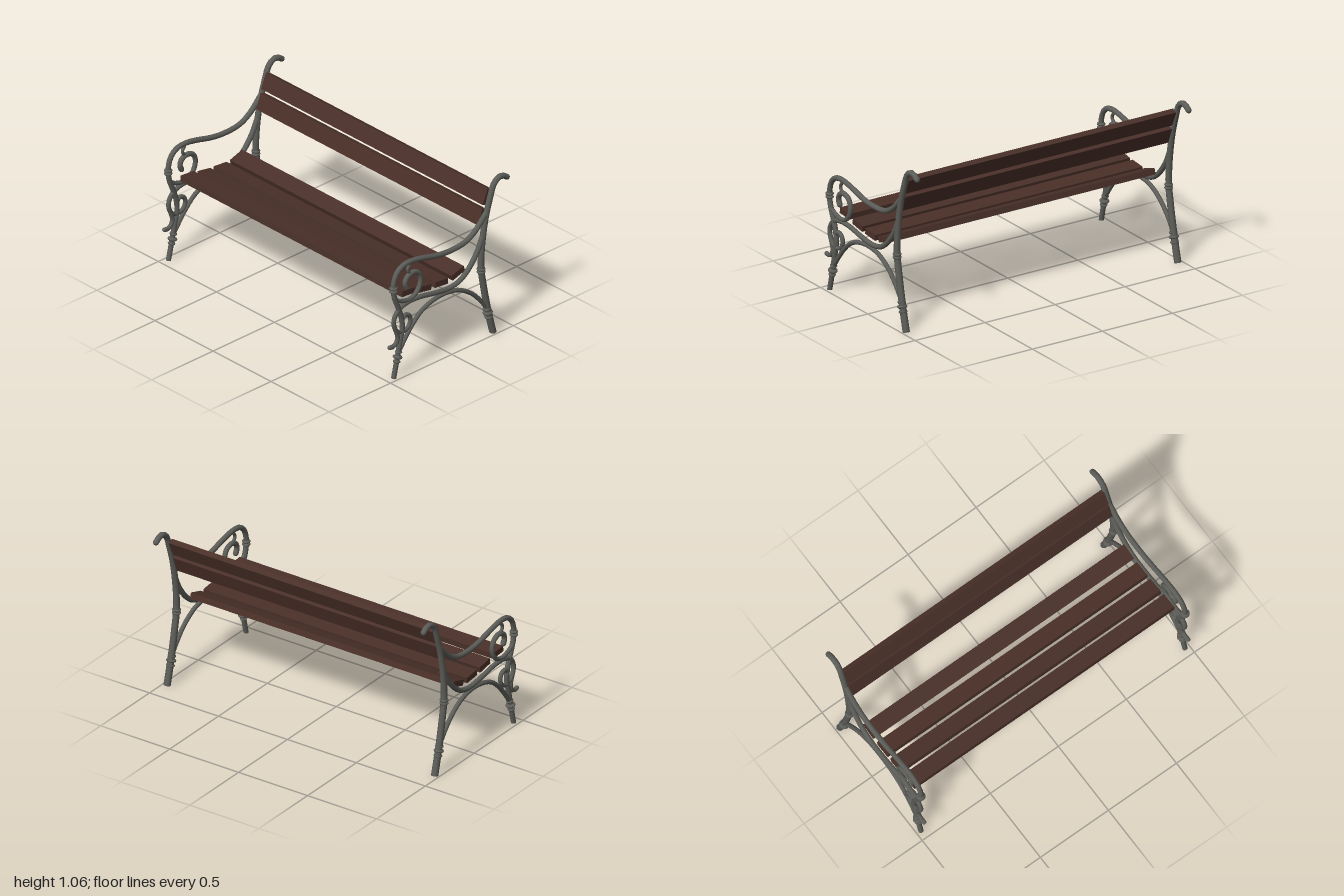
import * as THREE from 'three';

const iron = new THREE.MeshStandardMaterial({ color: 0x5c5d58 });
iron.name = 'grey iron';
const wood = new THREE.MeshStandardMaterial({ color: 0x4a3029 });
wood.name = 'brown wood';

const SIDE_X = 0.97;

function add(parent, name, geometry, material) {
  const mesh = new THREE.Mesh(geometry, material);
  mesh.name = name;
  parent.add(mesh);
  return mesh;
}

// Round bar through [z, y] points, its radius running from r0 to r1, with rounded ends.
function bar(parent, name, points, r0, r1, segments, foot = false) {
  const group = new THREE.Group();
  group.name = name;
  parent.add(group);
  const curve = new THREE.CatmullRomCurve3(points.map(([z, y]) => new THREE.Vector3(0, y, z)));
  const geometry = new THREE.TubeGeometry(curve, segments, 1, 12, false);
  const pos = geometry.attributes.position;
  const v = new THREE.Vector3();
  for (let i = 0; i < pos.count; i++) {
    const t = Math.floor(i / 13) / segments;
    const centre = curve.getPointAt(t);
    v.fromBufferAttribute(pos, i).sub(centre).multiplyScalar(r0 + (r1 - r0) * t).add(centre);
    pos.setXYZ(i, v.x, foot ? Math.max(0, v.y) : v.y, v.z);
  }
  add(group, name + 'Bar', geometry, iron);
  for (const [t, r] of [[0, r0], [1, r1]]) {
    const p = curve.getPointAt(t);
    if (foot && t === 0) {
      // Flat sole on the ground
      const sole = add(group, 'sole', new THREE.CircleGeometry(r, 12), iron);
      sole.rotation.x = Math.PI / 2;
      sole.position.set(0, 0, p.z);
    } else {
      const end = add(group, name + 'End', new THREE.SphereGeometry(r, 12, 8), iron);
      end.position.copy(p);
    }
  }
}

// Flattened ring around a bar, tilted to follow it
function collar(parent, z, y, radius, tilt) {
  const mesh = add(parent, 'collar', new THREE.SphereGeometry(radius, 16, 8).scale(1, 0.45, 1), iron);
  mesh.position.set(0, y, z);
  mesh.rotation.x = tilt;
}

function sideFrame(name, x) {
  const frame = new THREE.Group();
  frame.name = name;
  frame.position.x = x;

  bar(frame, 'backLeg', [
    [-0.362, 0], [-0.32, 0.17], [-0.285, 0.345], [-0.266, 0.47], [-0.273, 0.62], [-0.303, 0.8],
    [-0.34, 0.925], [-0.37, 1.005], [-0.41, 1.036], [-0.45, 1.03], [-0.476, 1.012],
  ], 0.022, 0.018, 36, true);

  bar(frame, 'frontLegAndArmrest', [
    [0.446, 0], [0.415, 0.135], [0.395, 0.23], [0.376, 0.315], [0.382, 0.385], [0.41, 0.47],
    [0.442, 0.555], [0.448, 0.625], [0.427, 0.695], [0.38, 0.735], [0.31, 0.744], [0.213, 0.728],
    [0.1, 0.7], [-0.01, 0.688], [-0.137, 0.7], [-0.22, 0.745], [-0.3, 0.825],
  ], 0.016, 0.017, 48, true);

  // Seat rail sweeping down from the back, forward, then into the tail at the front
  bar(frame, 'seatRail', [
    [-0.28, 0.69], [-0.235, 0.597], [-0.165, 0.507], [-0.095, 0.456], [-0.01, 0.438], [0.1, 0.448],
    [0.24, 0.473], [0.34, 0.473], [0.4, 0.452], [0.436, 0.415], [0.446, 0.367], [0.425, 0.31],
    [0.413, 0.265], [0.425, 0.232], [0.45, 0.216], [0.478, 0.22],
  ], 0.017, 0.014, 48);

  bar(frame, 'upperScroll', [
    [0.44, 0.53], [0.38, 0.5], [0.31, 0.49], [0.25, 0.525], [0.226, 0.59], [0.245, 0.642],
    [0.292, 0.662], [0.337, 0.645], [0.353, 0.61], [0.34, 0.578],
  ], 0.013, 0.017, 36);
  bar(frame, 'scrollLink', [[0.316, 0.725], [0.332, 0.7], [0.326, 0.68], [0.305, 0.664]], 0.01, 0.01, 10);
  bar(frame, 'lowerScroll', [
    [0.44, 0.34], [0.415, 0.306], [0.375, 0.29], [0.33, 0.303], [0.309, 0.345],
    [0.322, 0.382], [0.355, 0.395], [0.378, 0.375],
  ], 0.013, 0.014, 28);
  bar(frame, 'underArch', [
    [0.405, 0.165], [0.31, 0.29], [0.225, 0.368], [0.13, 0.406], [0.02, 0.415], [-0.08, 0.395],
    [-0.18, 0.336], [-0.25, 0.266], [-0.312, 0.185],
  ], 0.014, 0.014, 28);

  // Decorative collars on legs and armrest post
  collar(frame, 0.406, 0.165, 0.023, -0.25);
  collar(frame, 0.414, 0.133, 0.03, -0.25);
  collar(frame, 0.421, 0.105, 0.023, -0.25);
  collar(frame, -0.313, 0.178, 0.026, 0.22);
  collar(frame, -0.32, 0.15, 0.031, 0.22);
  collar(frame, -0.328, 0.12, 0.027, 0.22);
  for (const y of [0.592, 0.613]) collar(frame, 0.448, y, 0.026, 0);
  for (const y of [0.447, 0.467]) collar(frame, -0.266, y, 0.027, 0);
  return frame;
}

export function createModel() {
  const model = new THREE.Group();
  model.name = 'gardenBench';
  model.add(sideFrame('leftFrame', SIDE_X), sideFrame('rightFrame', -SIDE_X));

  // Slats: name, z, y, tilt about x
  const slats = [
    ['seatSlat', 0.31, 0.527, -0.08],
    ['seatSlat', 0.175, 0.499, -0.17],
    ['seatSlat', 0.041, 0.484, -0.1],
    ['seatSlat', -0.095, 0.497, 0.31],
    ['backSlat', -0.29, 0.802, Math.PI / 2 - 0.34],
    ['backSlat', -0.331, 0.924, Math.PI / 2 - 0.4],
  ];
  for (const [name, z, y, tilt] of slats) {
    const slat = add(model, name, new THREE.BoxGeometry(1.91, 0.037, 0.104), wood);
    slat.position.set(0, y, z);
    slat.rotation.x = tilt;
  }
  return model;
}
